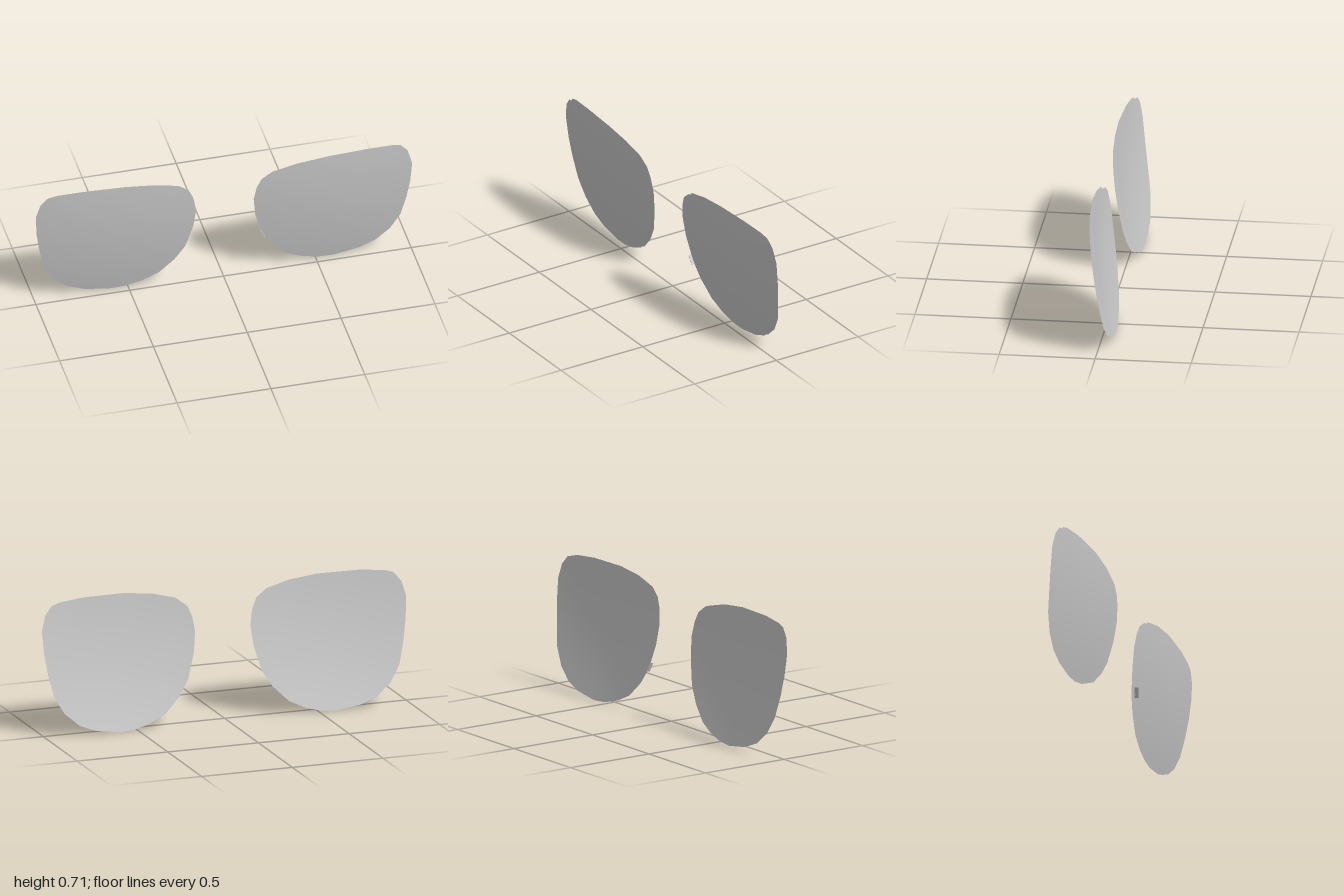
import * as THREE from 'three';

const material = new THREE.MeshStandardMaterial({ color: 0xcccccc, side: THREE.DoubleSide });

// Outline of the left lens, counter-clockwise from the bottom
const outline = [
  [0.6, 0], [0.73, 0.02], [0.82, 0.055], [0.895, 0.12], [0.948, 0.21], [0.976, 0.33],
  [0.993, 0.44], [1, 0.56], [0.978, 0.64], [0.94, 0.685], [0.89, 0.698], [0.76, 0.708],
  [0.54, 0.707], [0.38, 0.69], [0.25, 0.657], [0.195, 0.615], [0.17, 0.56], [0.156, 0.48],
  [0.168, 0.37], [0.206, 0.235], [0.26, 0.15], [0.34, 0.07], [0.43, 0.027], [0.515, 0.005],
];
const centre = [0.59, 0.38];
const thickness = 0.021;

// Tilted, gently domed front surface
const depth = (x, y) => -0.038 + 0.249 * y - 0.139 * y * y - 0.125 * (x - 0.45) ** 2;

// One curved sheet made of rings shrinking towards the lens centre
function lensSheet(side, offset, facing) {
  const rings = 8, n = outline.length, pos = [], index = [];
  const add = (x, y) => pos.push(side * x, y, depth(x, y) + offset);
  add(...centre);
  for (let r = 1; r <= rings; r++) {
    for (const [x, y] of outline) {
      const t = r / rings;
      add(centre[0] + (x - centre[0]) * t, centre[1] + (y - centre[1]) * t);
    }
  }
  const tri = (a, b, c) => (side * facing > 0 ? index.push(a, b, c) : index.push(a, c, b));
  for (let i = 0; i < n; i++) {
    const j = (i + 1) % n;
    tri(0, 1 + i, 1 + j);
    for (let r = 0; r < rings - 1; r++) {
      const a = 1 + r * n, b = a + n;
      tri(a + i, b + i, b + j);
      tri(a + i, b + j, a + j);
    }
  }
  const geo = new THREE.BufferGeometry();
  geo.setAttribute('position', new THREE.Float32BufferAttribute(pos, 3));
  geo.setIndex(index);
  geo.computeVertexNormals();
  return geo;
}

export function createModel() {
  const model = new THREE.Group();
  model.name = 'lensPair';

  // Front and back sheets of each lens
  for (const side of [1, -1]) {
    const lens = new THREE.Group();
    lens.name = side > 0 ? 'leftLens' : 'rightLens';
    for (const [name, offset, facing] of [['frontSurface', 0, 1], ['backSurface', -thickness, -1]]) {
      const sheet = new THREE.Mesh(lensSheet(side, offset, facing), material);
      sheet.name = name;
      lens.add(sheet);
    }
    model.add(lens);
  }

  // Small thin tab standing on the inner lower edge of the left lens
  const tab = new THREE.Mesh(new THREE.BoxGeometry(0.003, 0.054, 0.02), material);
  tab.name = 'edgeTab';
  tab.position.set(0.206, 0.245, 0.013);
  tab.rotation.set(0.17, 0, 0.42);
  model.add(tab);

  return model;
}
